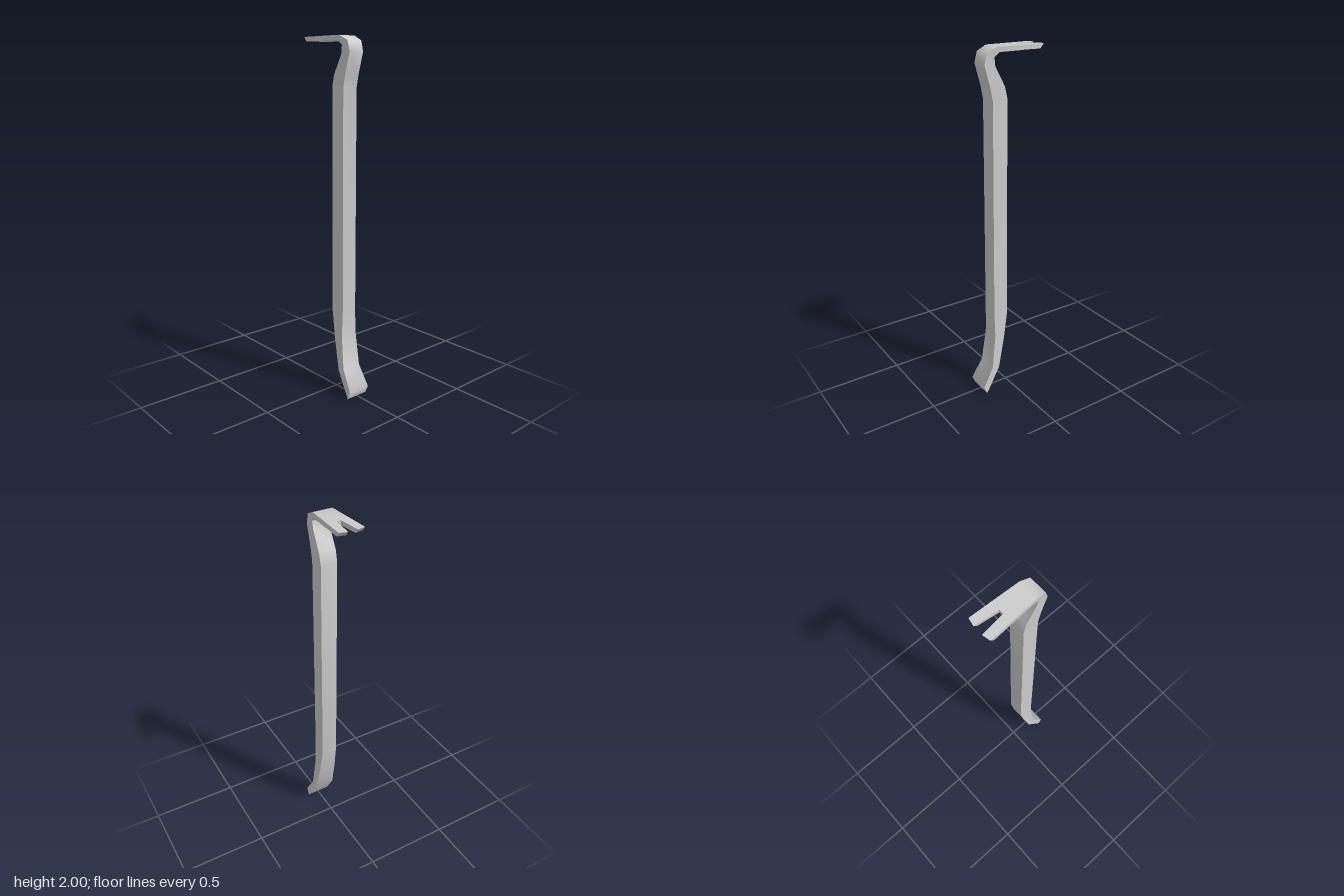
import * as THREE from 'three';
import { toCreasedNormals } from 'three/addons/utils/BufferGeometryUtils.js';

// Collects quads (counter-clockwise from outside) as triangles
function quad(out, a, b, c, d) {
  for (const p of [a, b, c, a, c, d]) out.push(...p);
}

// Joins four-cornered cross-sections: [+x front, -x front, -x back, +x back]
function loft(out, sections) {
  for (let i = 0; i < sections.length - 1; i++) {
    const s = sections[i], t = sections[i + 1];
    for (let k = 0; k < 4; k++) {
      const n = (k + 1) % 4;
      quad(out, s[k], t[k], t[n], s[n]);
    }
  }
}

// Cross-section from front (z, y), back (z, y) and half width
function section([zf, yf, zb, yb, w]) {
  return [[w, yf, zf], [-w, yf, zf], [-w, yb, zb], [w, yb, zb]];
}

export function createModel() {
  const group = new THREE.Group();
  const tris = [];

  // Bar from the chisel tip, up the shaft, over the hook to the claw notch
  const bar = [
    [0.197, 0.045, 0.177, 0, 0.069],
    [0.13, 0.16, 0.087, 0.146, 0.06],
    [0.106, 0.36, 0.045, 0.336, 0.052],
    [0.108, 0.5, 0.02, 0.495, 0.047],
    [0.108, 1.73, 0.02, 1.74, 0.047],
    [0.122, 1.8, 0.034, 1.8, 0.047],
    [0.156, 1.915, 0.092, 1.905, 0.047],
    [0.14, 1.973, 0.098, 1.95, 0.049],
    [0.082, 2, 0.071, 1.973, 0.055],
    [-0.07, 2, -0.07, 1.975, 0.063],
  ].map(section);
  loft(tris, bar);
  quad(tris, ...bar[0]);

  // Claw prongs with bevelled, slightly slanted ends
  const yTop = 2, yLow = 1.976, bevel = 0.02;
  for (const side of [1, -1]) {
    const ring = (xOut, zOut, xIn, zIn, cut) => {
      const o = [side * xOut, zOut], i = [side * xIn, zIn];
      const [a, b] = side > 0 ? [o, i] : [i, o];
      return [
        [a[0], yTop, a[1]], [b[0], yTop, b[1]],
        [b[0], yLow, b[1] + cut], [a[0], yLow, a[1] + cut],
      ];
    };
    const root = ring(0.063, -0.07, 0.012, -0.07, 0);
    const tip = ring(0.069, -0.189, 0.026, -0.198, bevel);
    loft(tris, [root, tip]);
    quad(tris, tip[3], tip[2], tip[1], tip[0]);
  }

  // Wall at the bottom of the notch
  const n = section([-0.07, yTop, -0.07, yLow, 0.012]);
  quad(tris, n[3], n[2], n[1], n[0]);

  const geometry = new THREE.BufferGeometry();
  geometry.setAttribute('position', new THREE.Float32BufferAttribute(tris, 3));
  const mesh = new THREE.Mesh(
    toCreasedNormals(geometry, 0.95),
    new THREE.MeshStandardMaterial({ color: 0xcccccc })
  );
  mesh.name = 'pryBar';
  group.add(mesh);
  group.name = 'crowbar';
  return group;
}
